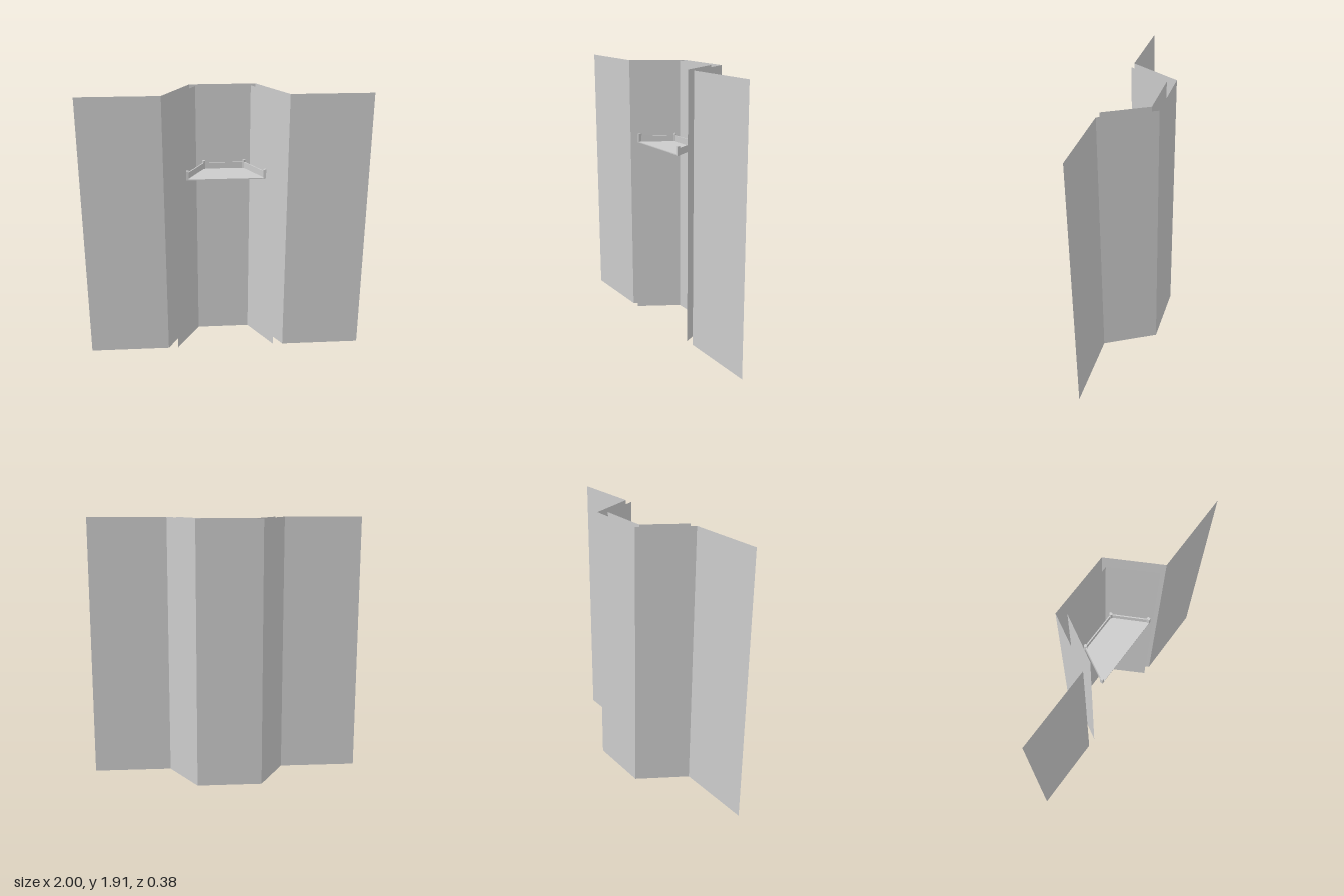
import * as THREE from 'three';

const material = new THREE.MeshStandardMaterial({ color: 0xcccccc, flatShading: true, side: THREE.DoubleSide });

function add(parent, name, geometry, x = 0, y = 0, z = 0) {
  const mesh = new THREE.Mesh(geometry, material);
  mesh.name = name;
  mesh.position.set(x, y, z);
  parent.add(mesh);
  return mesh;
}

// Thin upright sheet that follows a floor plan of [x, z] points
function foldedSheet(plan, height) {
  const positions = [];
  for (let i = 0; i < plan.length - 1; i++) {
    const [ax, az] = plan[i], [bx, bz] = plan[i + 1];
    positions.push(ax, 0, az, bx, 0, bz, bx, height, bz);
    positions.push(ax, 0, az, bx, height, bz, ax, height, az);
  }
  const geometry = new THREE.BufferGeometry();
  geometry.setAttribute('position', new THREE.Float32BufferAttribute(positions, 3));
  geometry.computeVertexNormals();
  return geometry;
}

// Adds the mirrored right half to a plan running from the left end to the middle
const mirrored = (half) => [...half, ...half.map(([x, z]) => [-x, z]).reverse()];

export function createModel() {
  const model = new THREE.Group();
  model.name = 'alcoveWithTray';
  const height = 1.915;

  // Outer wall with a recess, and a second lining inside the recess
  add(model, 'outerWall', foldedSheet(mirrored([[-1, 0.165], [-0.43, 0.165], [-0.235, -0.19]]), height));
  add(model, 'recessLining', foldedSheet(mirrored([[-0.36, 0.165], [-0.195, -0.13]]), height));

  // Trapezoid tray, open towards the front
  const tray = new THREE.Group();
  tray.name = 'tray';
  tray.position.y = 1.335;
  model.add(tray);

  const outline = new THREE.Shape();
  outline.moveTo(-0.272, -0.19);
  outline.lineTo(0.272, -0.19);
  outline.lineTo(0.145, 0.053);
  outline.lineTo(-0.145, 0.053);
  outline.closePath();
  const floor = new THREE.ExtrudeGeometry(outline, { depth: 0.006, bevelEnabled: false });
  floor.rotateX(-Math.PI / 2);
  add(tray, 'trayFloor', floor);

  // Flush half disc at the front edge
  const disc = new THREE.CircleGeometry(0.08, 24, 0, Math.PI);
  disc.rotateX(-Math.PI / 2);
  add(tray, 'halfDisc', disc, 0, 0.0068, 0.19);

  // Low rails along the back and both sides, with posts at the corners
  const corners = mirrored([[-0.266, 0.18], [-0.144, -0.047]]);
  const railHeight = 0.05, postHeight = 0.065;
  corners.forEach(([x, z], i) => {
    const front = i === 0 || i === 3;
    const post = front
      ? new THREE.BoxGeometry(0.018, postHeight, 0.022)
      : new THREE.CylinderGeometry(0.011, 0.011, postHeight, 8);
    add(tray, front ? 'frontPost' : 'backPost', post, x, postHeight / 2, z);
    if (i === 3) return;
    const [nx, nz] = corners[i + 1];
    const rail = add(tray, i === 1 ? 'backRail' : 'sideRail',
      new THREE.BoxGeometry(Math.hypot(nx - x, nz - z), railHeight, 0.008),
      (x + nx) / 2, railHeight / 2, (z + nz) / 2);
    rail.rotation.y = -Math.atan2(nz - z, nx - x);
  });

  return model;
}
